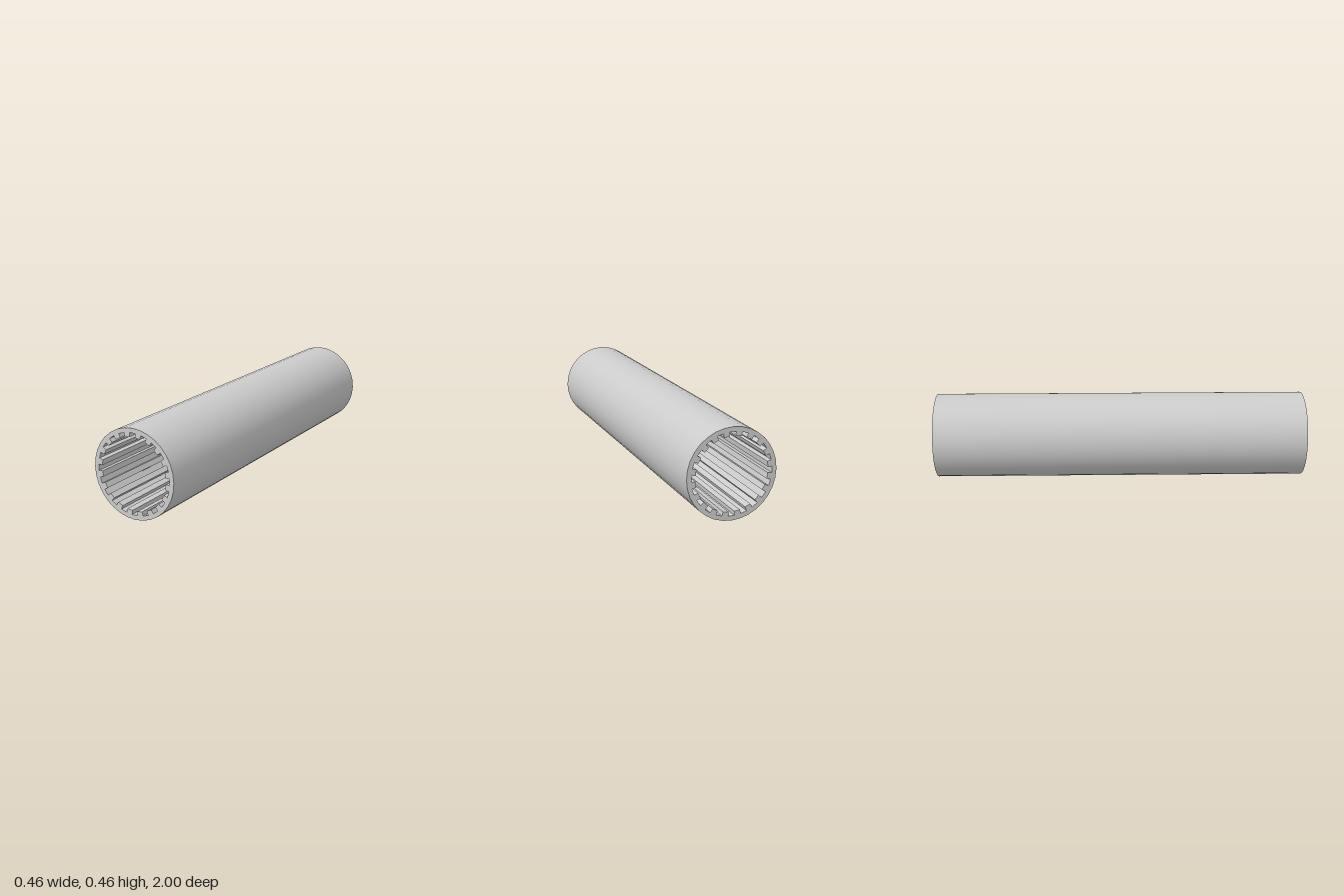
import * as THREE from 'three';
import { toCreasedNormals } from 'three/addons/utils/BufferGeometryUtils.js';

const LENGTH = 2;
const OUTER = 0.228;   // outside radius
const GROOVE = 0.205;  // radius at the groove floors
const TIP = 0.184;     // radius at the spline tips
const TEETH = 20;
const SIDES = 32;

// Point at an angle measured counter-clockwise from straight up
const polar = (r, a) => new THREE.Vector2(-r * Math.sin(a), r * Math.cos(a));

export function createModel() {
  const group = new THREE.Group();
  group.name = 'splinedSleeve';

  // Round outside
  const outline = [];
  for (let i = 0; i < SIDES; i++) outline.push(polar(OUTER, (i / SIDES) * Math.PI * 2));
  const shape = new THREE.Shape(outline);

  // Bore with equal teeth and grooves; a groove is centred at the top
  const bore = [];
  const pitch = (Math.PI * 2) / TEETH;
  for (let i = 0; i < TEETH; i++) {
    const start = (i + 0.25) * pitch;
    const end = (i + 0.75) * pitch;
    bore.push(polar(GROOVE, start), polar(TIP, start), polar(TIP, end), polar(GROOVE, end));
  }
  // The bore runs clockwise, against the outline, so its walls face inwards
  shape.holes.push(new THREE.Path(bore.reverse()));

  // Smooth outer wall, crisp splines and end faces
  const extruded = new THREE.ExtrudeGeometry(shape, { depth: LENGTH, bevelEnabled: false });
  const geometry = toCreasedNormals(extruded, Math.PI / 8);
  geometry.translate(0, OUTER, -LENGTH / 2);

  const sleeve = new THREE.Mesh(geometry, new THREE.MeshStandardMaterial({ color: 0xcccccc }));
  sleeve.name = 'sleeve';
  group.add(sleeve);
  return group;
}
